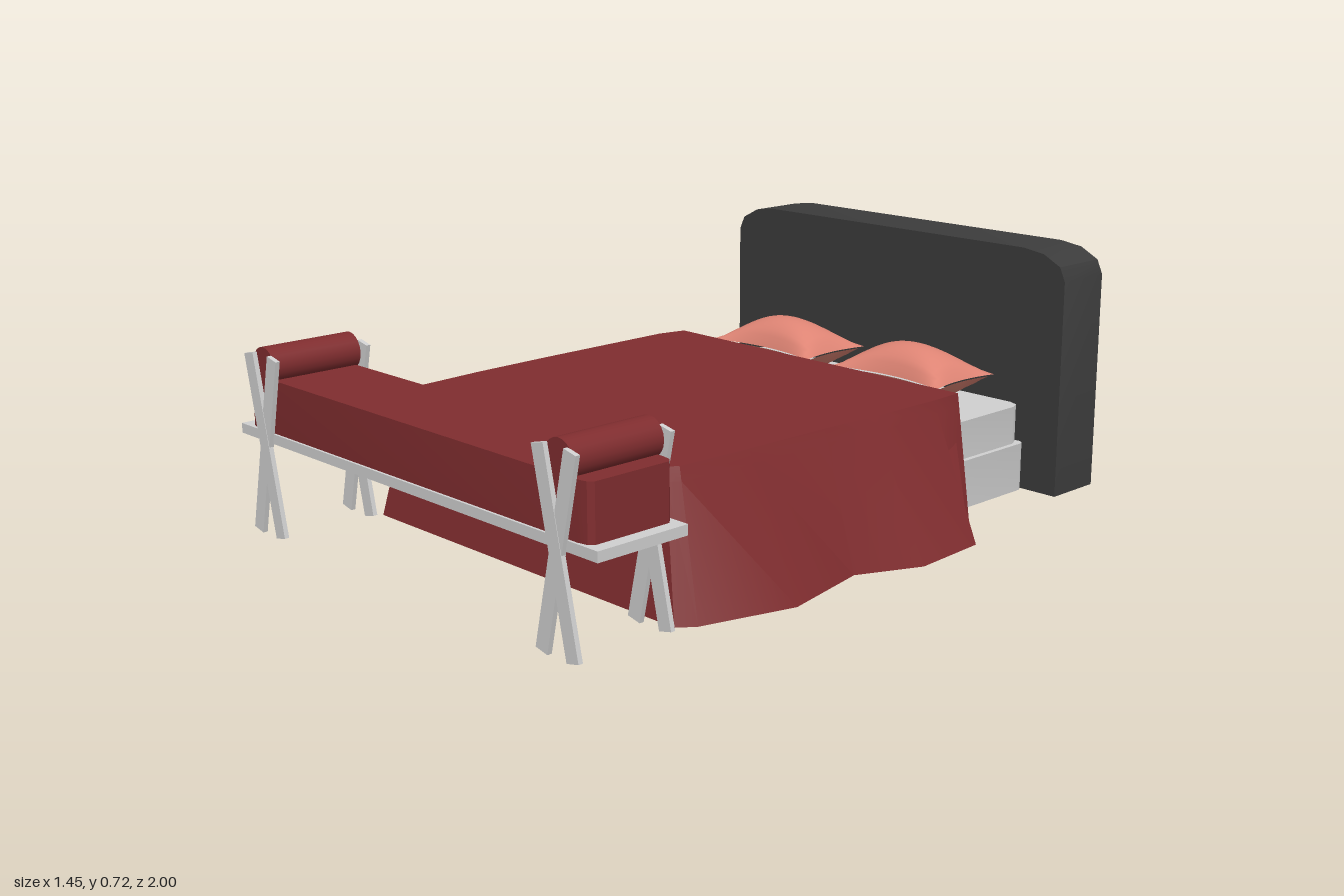
import * as THREE from 'three';
import { toCreasedNormals } from 'three/addons/utils/BufferGeometryUtils.js';

const mat = (name, color, side = THREE.FrontSide) => {
  const m = new THREE.MeshStandardMaterial({ color, side });
  m.name = name;
  return m;
};

export function createModel() {
  const charcoal = mat('charcoal', 0x3c3c3c);
  const red = mat('dark red', 0x802d2f, THREE.DoubleSide);
  const grey = mat('light grey', 0xd0d0d0);
  const coral = mat('coral', 0xde8474);
  const model = new THREE.Group();
  model.name = 'bed and bench';

  const add = (name, geo, material, x = 0, y = 0, z = 0, parent = model) => {
    const mesh = new THREE.Mesh(geo, material);
    mesh.name = name;
    mesh.position.set(x, y, z);
    parent.add(mesh);
    return mesh;
  };
  const polygon = (pts) => new THREE.Shape(pts.map(([x, y]) => new THREE.Vector2(x, y)));
  const extrude = (pts, depth) => toCreasedNormals(
    new THREE.ExtrudeGeometry(polygon(pts), { depth, bevelEnabled: false }), 0.6);
  // Flat slab with cut corners, lying in the xz plane
  const slab = (w, h, d, cx, cz) => {
    const a = w / 2, b = d / 2;
    return extrude([[a - cx, -b], [a - cx * 0.3, -b + cz * 0.3], [a, -b + cz], [a, b - cz], [a - cx * 0.3, b - cz * 0.3],
      [a - cx, b], [cx - a, b], [cx * 0.3 - a, b - cz * 0.3], [-a, b - cz], [-a, cz - b], [cx * 0.3 - a, cz * 0.3 - b],
      [cx - a, -b]], h).rotateX(-Math.PI / 2);
  };

  // Headboard with rounded upper corners
  const half = [[0.635, 0.02], [0.635, 0.645], [0.617, 0.685], [0.56, 0.715], [0.49, 0.725]];
  const outline = [...half, ...half.slice().reverse().map(([x, y]) => [-x, y])];
  add('headboard', extrude(outline, 0.18), charcoal, 0, 0, -1);

  // Base and mattress
  add('bedBase', slab(1.07, 0.14, 1.36, 0.02, 0.02), grey, -0.012, 0.02, -0.14);
  add('mattress', slab(1.04, 0.11, 1.36, 0.04, 0.04), grey, -0.012, 0.16, -0.14);

  // Blanket: top edge (x, z) and hem (x, z) from one head corner round to the other
  const drape = [
    [0.54, -0.48, 0.60, -0.475], [0.545, -0.37, 0.708, -0.365], [0.54, -0.13, 0.722, -0.13],
    [0.53, 0.05, 0.64, 0.05], [0.525, 0.32, 0.694, 0.32], [0.515, 0.545, 0.62, 0.585],
    [0.495, 0.573, 0.585, 0.63], [-0.53, 0.573, -0.605, 0.63], [-0.55, 0.545, -0.65, 0.59],
    [-0.565, 0.31, -0.65, 0.31], [-0.57, 0.05, -0.71, 0.05], [-0.57, -0.21, -0.65, -0.21],
    [-0.57, -0.40, -0.728, -0.40], [-0.55, -0.485, -0.64, -0.49],
  ];
  const verts = [], index = [], K = 5, n = drape.length;
  const inset = (x, z) => [x - Math.sign(x) * 0.022, z > 0.5 ? z - 0.022 : z];
  for (const [tx, tz, hx, hz] of drape) {
    const [ix, iz] = inset(tx, tz), [jx, jz] = inset(hx, hz);
    const sx = tx + (hx - tx) * 0.1, sz = tz + (hz - tz) * 0.1;
    // inner top, inner hem, outer hem, shoulder, outer top
    verts.push(ix, 0.335, iz, jx, 0.003, jz, hx, 0.003, hz, sx, 0.335, sz, tx, 0.37, tz);
  }
  verts.push(-0.01, 0.37, 0.05);
  for (let i = 0; i < n; i++) {
    const a = i * K, b = ((i + 1) % n) * K;
    index.push(n * K, b + 4, a + 4);
    if (i === n - 1) continue;
    for (let k = 0; k < K - 1; k++) index.push(a + k, a + k + 1, b + k + 1, a + k, b + k + 1, b + k);
  }
  const e = (n - 1) * K;
  for (let k = 1; k < K - 1; k++) index.push(0, k + 1, k, e, e + k, e + k + 1);
  const blanket = new THREE.BufferGeometry();
  blanket.setAttribute('position', new THREE.Float32BufferAttribute(verts, 3));
  blanket.setIndex(index);
  add('blanket', toCreasedNormals(blanket, 0.5), red);
  add('blanketHeadEdge', new THREE.BoxGeometry(1.07, 0.1, 0.02), red, -0.006, 0.316, -0.468);

  // Pillows with pinched corners, made of two bulging halves
  const puff = new THREE.PlaneGeometry(2, 2, 18, 14);
  const p = puff.attributes.position;
  for (let i = 0; i < p.count; i++) {
    const u = p.getX(i), v = p.getY(i), a = 1 - u * u, b = 1 - v * v;
    p.setXYZ(i, 0.198 * u * (1 - 0.1 * b), 0.13 * v * (1 - 0.27 * a), 0.082 * Math.pow(Math.max(a * b, 0), 0.65) + 0.002);
  }
  puff.rotateX(-Math.PI / 2);
  puff.computeVertexNormals();
  const under = puff.clone().rotateX(Math.PI);
  for (const [side, x] of [['left', 0.236], ['right', -0.258]]) {
    const pillow = new THREE.Group();
    pillow.name = side + 'Pillow';
    pillow.position.set(x, 0.351, -0.65);
    add('pillowTop', puff, coral, 0, 0, 0, pillow);
    add('pillowUnderside', under, coral, 0, 0, 0, pillow);
    model.add(pillow);
  }

  // Bench at the foot of the bed
  const bench = new THREE.Group();
  bench.name = 'bench';
  model.add(bench);
  add('benchSeat', new THREE.BoxGeometry(1.45, 0.027, 0.27), grey, 0, 0.302, 0.853, bench);
  add('benchCushion', slab(1.38, 0.145, 0.256, 0.04, 0.018), red, 0, 0.315, 0.853, bench);
  const bolster = new THREE.CylinderGeometry(0.05, 0.05, 0.268, 20).rotateX(Math.PI / 2);
  const bar = new THREE.BoxGeometry(0.042, 0.5, 0.013);
  for (const s of [1, -1]) {
    add('bolster', bolster, red, s * 0.598, 0.495, 0.853, bench);
    // Crossed legs on the front and back of the bench
    for (const z of [0.993, 0.713]) {
      for (const tilt of [0.22, -0.22]) {
        add('crossedLeg', bar, grey, s * 0.595, 0.28, z + tilt * 0.003, bench).rotation.z = tilt;
      }
    }
  }
  return model;
}
